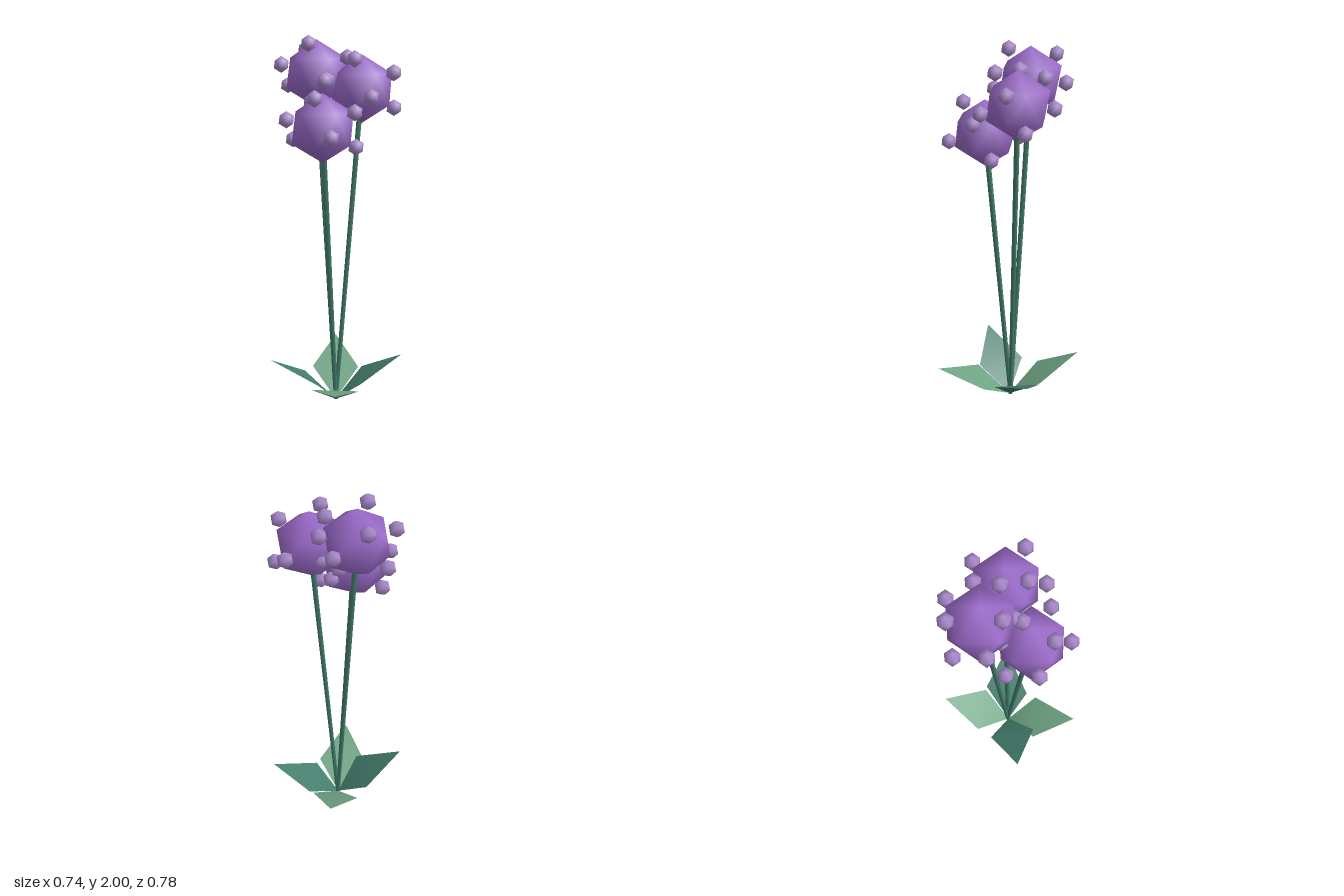
import * as THREE from 'three';

const mat = (name, color, side = THREE.FrontSide) => {
  const m = new THREE.MeshStandardMaterial({ color, side });
  m.name = name;
  return m;
};

// Smooth-shaded icosahedron with a vertex at each pole, rings of five between
function smoothIcosahedron(radius) {
  const pos = [0, radius, 0], index = [];
  const h = radius / Math.sqrt(5), r = 2 * h;
  for (let ring = 0; ring < 2; ring++) {
    for (let i = 0; i < 5; i++) {
      const a = (i + ring / 2) * Math.PI * 0.4;
      pos.push(r * Math.cos(a), ring ? -h : h, -r * Math.sin(a));
    }
  }
  pos.push(0, -radius, 0);
  for (let i = 0; i < 5; i++) {
    const n = (i + 1) % 5;
    const u = 1 + i, u2 = 1 + n, l = 6 + i, l2 = 6 + n;
    index.push(0, u, u2, u, l, u2, u2, l, l2, l, 11, l2);
  }
  const g = new THREE.BufferGeometry();
  g.setAttribute('position', new THREE.Float32BufferAttribute(pos, 3));
  g.setIndex(index);
  g.computeVertexNormals();
  return g;
}

// Diamond leaf: base, two side corners, tip, bent across the middle
function leafGeometry(right, tip, left) {
  const g = new THREE.BufferGeometry();
  g.setAttribute('position', new THREE.Float32BufferAttribute(
    [-0.005, 0, -0.01, ...right, ...tip, ...left], 3));
  g.setIndex([0, 1, 3, 1, 2, 3]);
  g.computeVertexNormals();
  return g;
}

export function createModel() {
  const model = new THREE.Group();
  model.name = 'flower';

  const petal = mat('purple', 0x9c6bcb);
  const bud = mat('pale purple', 0xa988cb);
  const stemGreen = mat('teal green', 0x437c6b);
  const tealLeaf = mat('teal leaf green', 0x437c6b, THREE.DoubleSide);
  const sageLeaf = mat('sage leaf green', 0x6fa484, THREE.DoubleSide);

  const add = (parent, name, geometry, material) => {
    const mesh = new THREE.Mesh(geometry, material);
    mesh.name = name;
    parent.add(mesh);
    return mesh;
  };

  // Flower heads, all sharing the same arrangement of buds
  const headGeometry = smoothIcosahedron(0.18);
  const budGeometry = smoothIcosahedron(0.044);
  const budOffsets = [
    [-0.054, 0.16, 0.104], [-0.19, 0.05, 0.032], [-0.042, 0.125, -0.15],
    [-0.14, -0.068, -0.128], [0.12, 0.005, -0.158], [0.152, 0.088, 0.094],
    [0.017, -0.028, 0.195], [0.174, -0.1, 0.003], [-0.01, -0.005, 0]
  ].slice(0, 8);
  const heads = [[-0.09, 1.797, -0.14], [0.135, 1.721, -0.02], [-0.088, 1.53, 0.103]];
  const root = new THREE.Vector3(-0.003, 0, -0.015);
  const up = new THREE.Vector3(0, 1, 0);

  for (const centre of heads) {
    const head = new THREE.Group();
    head.name = 'flowerHead';
    head.position.set(...centre);
    add(head, 'bloom', headGeometry, petal);
    for (const offset of budOffsets) add(head, 'bud', budGeometry, bud).position.set(...offset);
    model.add(head);

    // Stem from the root into the head
    const dir = head.position.clone().sub(root);
    const stem = add(model, 'stem', new THREE.CylinderGeometry(0.015, 0.012, dir.length(), 6), stemGreen);
    stem.position.copy(root).addScaledVector(dir, 0.5);
    stem.quaternion.setFromUnitVectors(up, dir.normalize());
  }

  // Four leaves around the root
  add(model, 'frontLeaf', leafGeometry([-0.16, 0.12, 0.14], [-0.065, 0.175, 0.39], [0.1, 0.105, 0.16]), sageLeaf);
  add(model, 'backLeaf', leafGeometry([0.145, 0.13, -0.15], [0.05, 0.25, -0.395], [-0.11, 0.13, -0.2]), sageLeaf);
  add(model, 'leftLeaf', leafGeometry([0.12, 0.125, 0.105], [0.37, 0.24, -0.02], [0.165, 0.135, -0.145]), tealLeaf);
  add(model, 'rightLeaf', leafGeometry([-0.165, 0.135, -0.12], [-0.37, 0.265, 0.04], [-0.12, 0.14, 0.14]), tealLeaf);

  return model;
}
